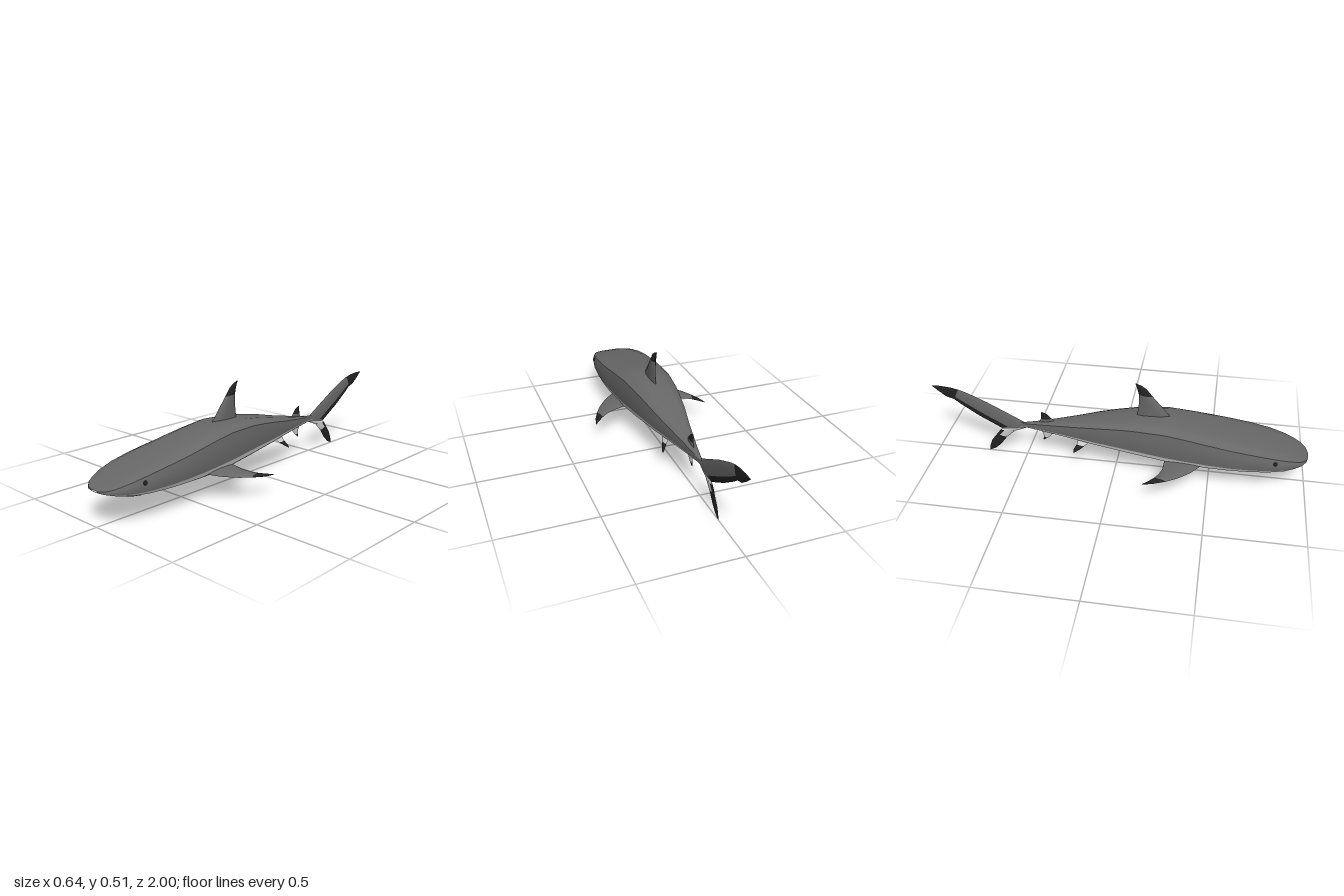
import * as THREE from 'three';

const mat = (name, color) => new THREE.MeshStandardMaterial({ name, color, side: THREE.DoubleSide });
const V = (x, y, z) => new THREE.Vector3(x, y, z);

// Smooth sheet through rows of points, wound so that it faces along the hint
function patch(name, rows, material, hint) {
  const pts = rows.flat(), n = rows[0].length, idx = [];
  for (let i = 0; i < rows.length - 1; i++)
    for (let j = 0; j < n - 1; j++) {
      const a = i * n + j, b = a + n;
      idx.push(a, b, a + 1, a + 1, b, b + 1);
    }
  const sum = V(0, 0, 0), e1 = V(0, 0, 0), e2 = V(0, 0, 0);
  for (let k = 0; k < idx.length; k += 3) {
    e1.subVectors(pts[idx[k + 1]], pts[idx[k]]);
    e2.subVectors(pts[idx[k + 2]], pts[idx[k]]);
    sum.add(e1.cross(e2));
  }
  if (sum.dot(hint) < 0) idx.reverse();
  const geo = new THREE.BufferGeometry().setFromPoints(pts);
  geo.setIndex(idx);
  geo.computeVertexNormals();
  const mesh = new THREE.Mesh(geo, material);
  mesh.name = name;
  return mesh;
}

// Lens-section fin: stations are [lead, trail, half thickness] from root to tip.
// From station tipFrom on it takes the tip colour, as does the rear edge if asked.
function fin(name, stations, axis, { upper, lower = upper, tip, tipFrom, edge = 1, edgeFrom = 0 }) {
  const group = new THREE.Group();
  group.name = name;
  const row = ([lead, trail, t], s, u0, u1) => Array.from({ length: 6 }, (_, j) => {
    const u = u0 + (u1 - u0) * j / 5;
    return lead.clone().lerp(trail, u).addScaledVector(axis, s * t * Math.sqrt(Math.sin(Math.PI * Math.min(u, 0.9999))));
  });
  for (const s of [1, -1]) {
    const hint = axis.clone().multiplyScalar(s);
    const add = (label, from, to, u0, u1, m) => {
      if (to - from < 1) return;
      group.add(patch(label, stations.slice(from, to + 1).map(st => row(st, s, u0, u1)), m, hint));
    };
    const base = s > 0 ? upper : lower;
    if (edge < 1) {
      add('finRoot', 0, edgeFrom, 0, 1, base);
      add('finBlade', edgeFrom, tipFrom, 0, edge, base);
      add('finRearEdge', edgeFrom, tipFrom, edge, 1, tip);
    } else add('finBlade', 0, tipFrom, 0, 1, base);
    add('finTip', tipFrom, stations.length - 1, 0, 1, tip);
  }
  return group;
}

export function createModel() {
  const model = new THREE.Group();
  model.name = 'shark';
  const grey = mat('backGrey', 0x686868);
  const pale = mat('bellyPale', 0xcfcfcf);
  const black = mat('tipBlack', 0x222222);

  // Body stations: z, half width, bottom, top
  const body = [
    [1, 0.02, 0.166, 0.174], [0.99, 0.06, 0.162, 0.18], [0.965, 0.093, 0.154, 0.191], [0.93, 0.114, 0.144, 0.205],
    [0.88, 0.134, 0.132, 0.222], [0.8, 0.15, 0.12, 0.244], [0.7, 0.158, 0.111, 0.265], [0.6, 0.16, 0.105, 0.282],
    [0.5, 0.156, 0.1, 0.3], [0.4, 0.15, 0.098, 0.317], [0.27, 0.142, 0.102, 0.334], [0.1, 0.122, 0.119, 0.326],
    [0, 0.106, 0.13, 0.31], [-0.1, 0.089, 0.14, 0.29], [-0.2, 0.066, 0.15, 0.266], [-0.3, 0.045, 0.16, 0.245],
    [-0.4, 0.025, 0.17, 0.225], [-0.48, 0.011, 0.178, 0.211], [-0.54, 0.004, 0.178, 0.205],
  ];
  // Each band of the cross-section is its own sheet, so its borders stay creased
  const band = (name, section, m, hint) =>
    model.add(patch(name, body.map(([z, w, b, t]) => section.map(([u, v]) => V(u * w, b + v * (t - b), z))), m, hint));
  band('back', [[-0.93, 0.86], [-0.74, 0.94], [-0.52, 1], [0, 1], [0.52, 1], [0.74, 0.94], [0.93, 0.86]], grey, V(0, 1, 0));
  band('belly', [[-0.93, 0.17], [-0.72, 0.08], [-0.5, 0], [0, 0], [0.5, 0], [0.72, 0.08], [0.93, 0.17]], pale, V(0, -1, 0));

  for (const s of [1, -1]) {
    const side = s > 0 ? 'left' : 'right', out = V(s, 0, 0);
    band(side + 'Flank', [[s * 0.93, 0.86], [s * 0.98, 0.66], [s, 0.45], [s * 0.98, 0.28]], grey, out);
    band(side + 'FlankStripe', [[s * 0.98, 0.28], [s * 0.93, 0.17]], pale, out);

    // Eye
    const eye = new THREE.Mesh(new THREE.SphereGeometry(0.011, 16, 12), black);
    eye.name = side + 'Eye';
    eye.scale.x = 0.5;
    eye.position.set(s * 0.142, 0.198, 0.83);
    model.add(eye);

    // Pectoral fin, drooping a little more on the left
    const droop = s > 0 ? 0.165 : 0.055;
    const p = (x, z) => V(s * x, 0.138 - droop * (x - 0.14), z);
    model.add(fin(side + 'PectoralFin', [
      [p(0.1, 0.48), p(0.1, 0.27), 0.008], [p(0.145, 0.455), p(0.14, 0.27), 0.008], [p(0.2, 0.412), p(0.19, 0.268), 0.008],
      [p(0.25, 0.352), p(0.235, 0.253), 0.007], [p(0.283, 0.295), p(0.266, 0.232), 0.006],
      [p(0.308, 0.235), p(0.298, 0.203), 0.005], [p(0.32, 0.182), p(0.318, 0.18), 0.002],
    ], V(0, 1, 0), { upper: grey, lower: pale, tip: black, tipFrom: 4 }));

    // Pelvic fin
    model.add(fin(side + 'PelvicFin', [
      [V(s * 0.045, 0.17, -0.12), V(s * 0.045, 0.17, -0.2), 0.006], [V(s * 0.065, 0.14, -0.16), V(s * 0.06, 0.14, -0.205), 0.006],
      [V(s * 0.078, 0.117, -0.19), V(s * 0.076, 0.117, -0.22), 0.005], [V(s * 0.085, 0.102, -0.215), V(s * 0.085, 0.102, -0.22), 0.002],
    ], out, { upper: pale, tip: black, tipFrom: 1 }));
  }

  // Mouth line under the snout
  const mouth = new THREE.Mesh(new THREE.TubeGeometry(new THREE.CatmullRomCurve3([
    V(-0.105, 0.134, 0.83), V(-0.075, 0.133, 0.875), V(-0.035, 0.134, 0.89), V(0, 0.135, 0.893),
    V(0.035, 0.134, 0.89), V(0.075, 0.133, 0.875), V(0.105, 0.134, 0.83)]), 32, 0.004, 6), black);
  mouth.name = 'mouth';
  model.add(mouth);

  // Upright fins on the centre line: lead z, lead y, trail z, trail y, half thickness
  const upright = (name, list, options) => model.add(fin(name,
    list.map(([z0, y0, z1, y1, t]) => [V(0, y0, z0), V(0, y1, z1), t]), V(1, 0, 0), options));
  upright('dorsalFin', [
    [0.3, 0.31, 0.105, 0.31, 0.012], [0.275, 0.34, 0.11, 0.34, 0.012], [0.225, 0.4, 0.117, 0.4, 0.012],
    [0.187, 0.445, 0.115, 0.452, 0.011], [0.155, 0.485, 0.108, 0.48, 0.009], [0.13, 0.503, 0.102, 0.5, 0.006],
    [0.1, 0.515, 0.097, 0.512, 0.002],
  ], { upper: grey, tip: black, tipFrom: 3 });
  upright('secondDorsalFin', [
    [-0.325, 0.22, -0.425, 0.212, 0.007], [-0.35, 0.248, -0.41, 0.242, 0.007],
    [-0.375, 0.275, -0.408, 0.265, 0.005], [-0.4, 0.286, -0.407, 0.283, 0.002],
  ], { upper: grey, tip: black, tipFrom: 1 });
  upright('analFin', [
    [-0.325, 0.175, -0.42, 0.178, 0.007], [-0.352, 0.148, -0.402, 0.15, 0.006],
    [-0.375, 0.123, -0.4, 0.128, 0.005], [-0.4, 0.107, -0.403, 0.11, 0.002],
  ], { upper: pale, tip: black, tipFrom: 2 });

  // Tail lobes, dark along the rear edge
  upright('upperTailLobe', [
    [-0.48, 0.18, -0.63, 0.153, 0.006], [-0.5, 0.208, -0.636, 0.158, 0.007], [-0.6, 0.262, -0.67, 0.178, 0.007],
    [-0.7, 0.315, -0.755, 0.226, 0.006], [-0.8, 0.361, -0.855, 0.294, 0.006], [-0.855, 0.381, -0.885, 0.318, 0.005],
    [-0.9, 0.39, -0.925, 0.33, 0.004], [-0.955, 0.395, -0.965, 0.36, 0.003], [-1, 0.393, -0.999, 0.39, 0.001],
  ], { upper: grey, tip: black, tipFrom: 5, edge: 0.72, edgeFrom: 1 });
  upright('lowerTailLobe', [
    [-0.48, 0.18, -0.63, 0.153, 0.006], [-0.56, 0.147, -0.642, 0.145, 0.006], [-0.61, 0.1, -0.662, 0.118, 0.006],
    [-0.65, 0.045, -0.697, 0.07, 0.005], [-0.685, 0.014, -0.712, 0.03, 0.004], [-0.715, 0, -0.716, 0.003, 0.001],
  ], { upper: pale, tip: black, tipFrom: 2, edge: 0.72, edgeFrom: 1 });

  return model;
}
